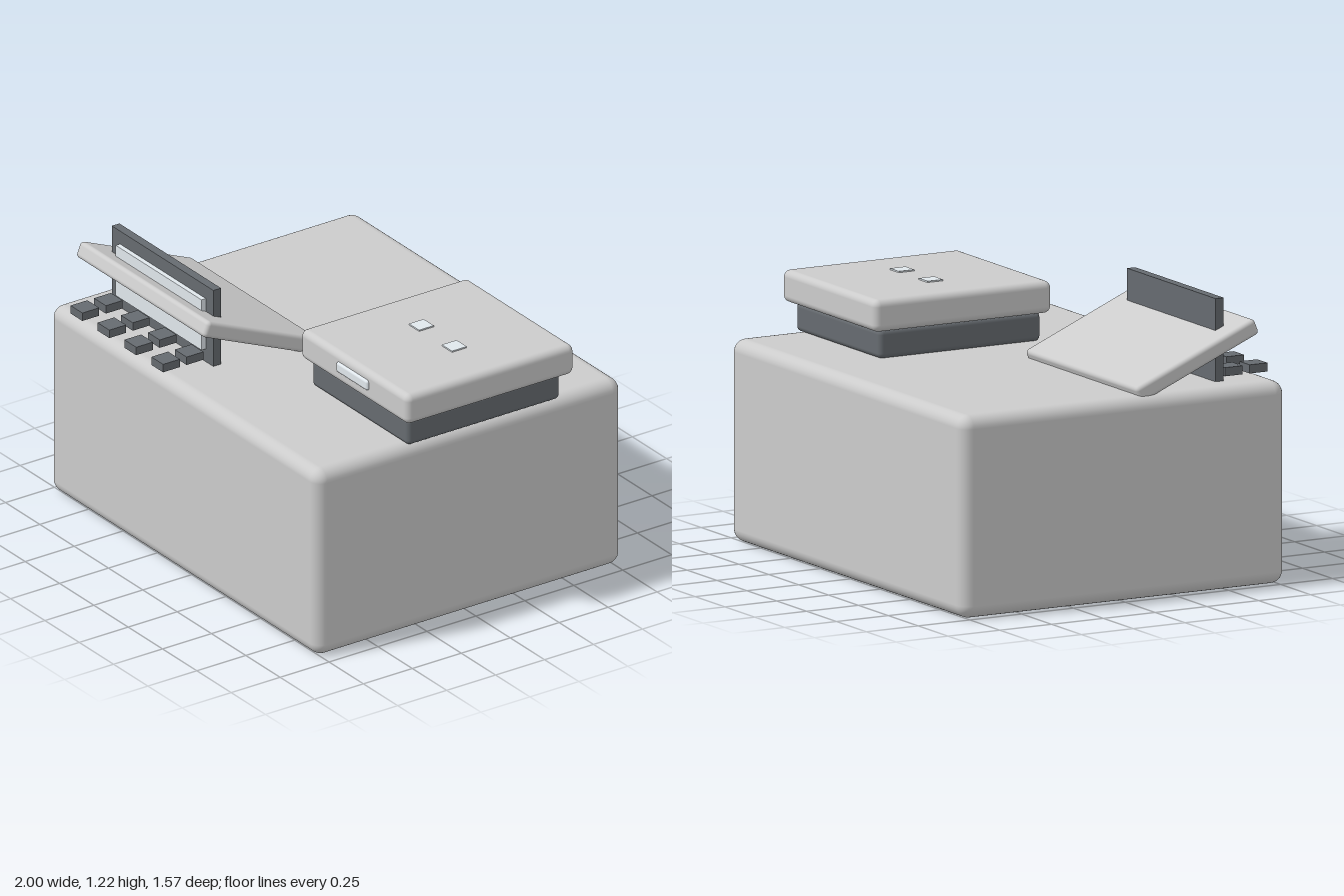
import * as THREE from 'three';
import { RoundedBoxGeometry } from 'three/addons/geometries/RoundedBoxGeometry.js';

const grey = new THREE.MeshStandardMaterial({ color: 0xcccccc });
const dark = new THREE.MeshStandardMaterial({ color: 0x666b70 });
const light = new THREE.MeshStandardMaterial({ color: 0xe0e7ec });

export function createModel() {
  const model = new THREE.Group();

  // Box from its [min, max] extents, rounded when a radius is given
  function box(name, [x0, x1], [y0, y1], [z0, z1], material, radius = 0) {
    const size = [x1 - x0, y1 - y0, z1 - z0];
    const geometry = radius
      ? new RoundedBoxGeometry(...size, 4, radius)
      : new THREE.BoxGeometry(...size);
    const mesh = new THREE.Mesh(geometry, material);
    mesh.name = name;
    mesh.position.set((x0 + x1) / 2, (y0 + y1) / 2, (z0 + z1) / 2);
    model.add(mesh);
    return mesh;
  }

  // Main cabinet
  box('cabinet', [-1, 0.955], [0, 0.865], [-0.785, 0.78], grey, 0.055);

  // Scanner unit: dark base, overhanging lid, front grip and two top pads
  box('scannerBase', [0.25, 0.955], [0.863, 0.987], [-0.465, 0.315], dark, 0.022);
  box('scannerLid', [0.215, 1.0], [0.985, 1.122], [-0.507, 0.35], grey, 0.03);
  box('lidGrip', [0.49, 0.72], [1.037, 1.085], [0.33, 0.36], light, 0.012);
  for (const x of [0.485, 0.725]) {
    box('lidPad', [x - 0.037, x + 0.037], [1.1, 1.128], [-0.12, -0.045], light);
  }

  // Sloping control panel, sunk into the cabinet at its back edge
  const panel = box('controlPanel', [-0.965, -0.025], [0.949, 1.021], [0.063, 0.683], grey, 0.018);
  panel.rotation.x = -THREE.MathUtils.degToRad(23);

  // Upright display standing through the panel
  box('displayFrame', [-0.865, -0.125], [0.85, 1.22], [0.513, 0.552], dark);
  box('displayScreen', [-0.805, -0.18], [0.925, 1.16], [0.54, 0.574], light);

  // Two rows of four keys
  for (const z of [0.61, 0.73]) {
    for (let i = 0; i < 4; i++) {
      const x = -0.807 + i * 0.196;
      box('key', [x - 0.043, x + 0.043], [0.88, 0.917], [z - 0.043, z + 0.043], dark);
    }
  }

  return model;
}
